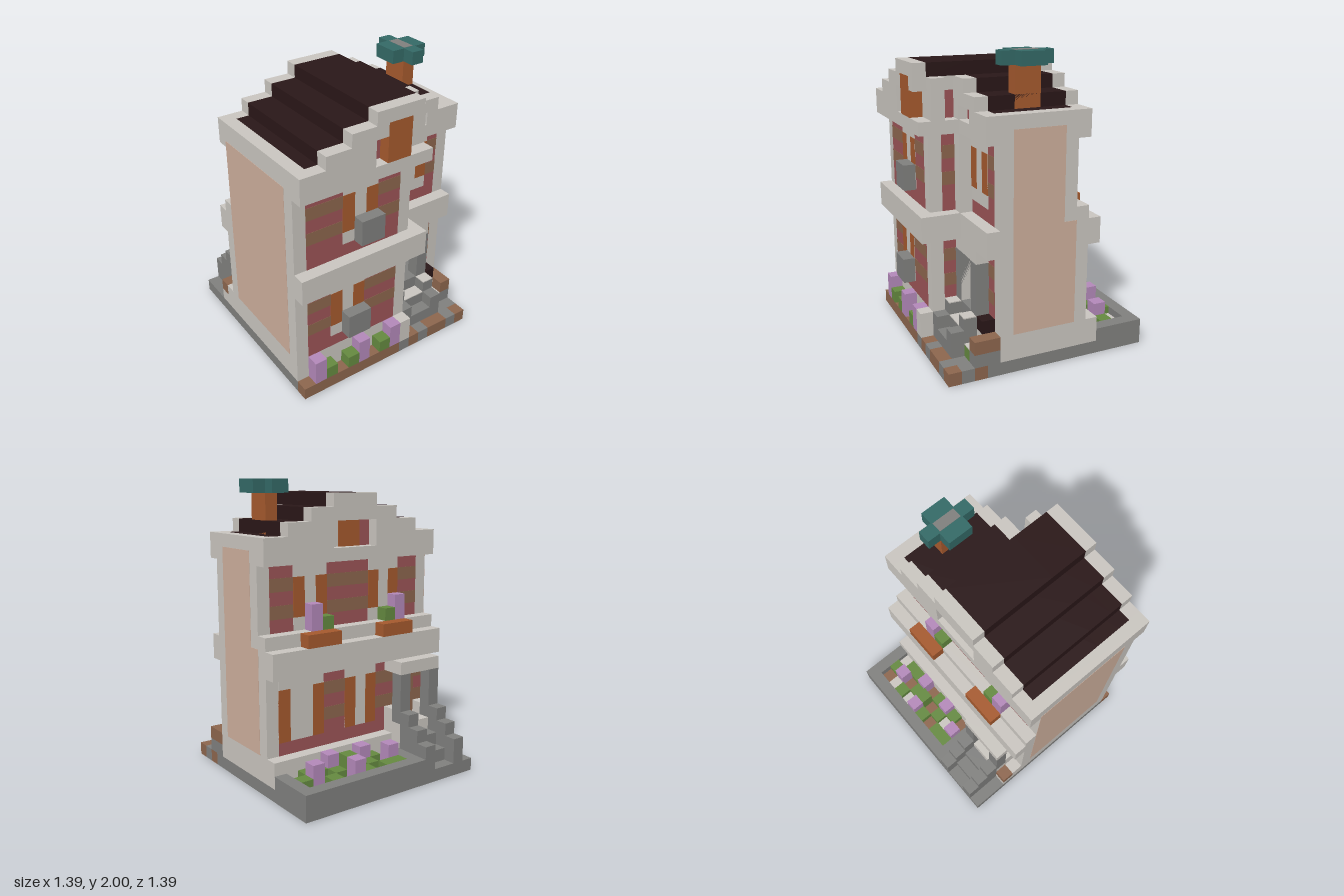
import * as THREE from 'three';

const U = 2 / 23; // one block
const mat = (name, color) => Object.assign(new THREE.MeshStandardMaterial({ color }), { name });

export function createModel() {
  const stone = mat('light stone', 0xcac6c0), grey = mat('grey stone', 0x80807e);
  const dark = mat('dark roof', 0x2a1718), teal = mat('teal', 0x346a67);
  const orange = mat('terracotta', 0xa65a2e), brown = mat('brown', 0x8d664e);
  const brick = mat('red brick', 0x9d5457), green = mat('leaf green', 0x658a40);
  const purple = mat('blossom purple', 0xb489ba), plaster = mat('pink plaster', 0xceaf9d);
  const model = new THREE.Group();

  // Box between block coordinates: x 0..16, y 0..23, z 0 (back)..16 (front)
  function box(name, m, x0, x1, y0, y1, z0, z1) {
    const g = new THREE.BoxGeometry((x1 - x0) * U, (y1 - y0) * U, (z1 - z0) * U);
    const mesh = new THREE.Mesh(g, m);
    mesh.position.set(((x0 + x1) / 2 - 8) * U, (y0 + y1) / 2 * U, ((z0 + z1) / 2 - 8) * U);
    mesh.name = name;
    model.add(mesh);
  }
  // Thin plate on a wall at depth z, facing dir (+1 front, -1 back)
  function plate(name, m, x0, x1, y0, y1, z, dir, t) {
    box(name, m, x0, x1, y0, y1, Math.min(z, z + dir * t), Math.max(z, z + dir * t));
  }
  // Striped brick wall; windows are [x0, x1, sillY, leftShutterY, rightShutterY]
  function facade(x0, x1, y0, y1, z, dir, windows) {
    plate('brickWall', brick, x0, x1, y0, y1, z, dir, 0.02);
    for (const y of [y1 - 2, y1 - 4]) plate('brickStripe', brown, x0, x1, y, y + 1, z, dir, 0.04);
    for (const [a, b, sill, l, r] of windows) {
      plate('windowFrame', stone, a, b, sill, y1, z, dir, 0.06);
      plate('shutter', orange, a, a + 1, l, y1 - 1, z, dir, 0.08);
      plate('shutter', orange, b - 1, b, r, y1 - 1, z, dir, 0.08);
    }
  }

  // Ground slab with paved edges
  box('groundSlab', grey, 0, 16, 0, 1, 0, 13);
  box('groundSlab', grey, 0, 15, 0, 1, 13, 14);
  box('soilCorner', brown, 15, 16, 0, 1, 13, 14);
  box('groundSlab', grey, 0, 16, 0, 1, 14, 15);
  box('frontSoil', brown, 0, 9, 0, 1, 15, 16);
  [grey, brown, grey, brown, brown, grey, brown].forEach((m, i) =>
    box('frontPaving', m, 9 + i, 10 + i, 0, 1, 15, 16));

  // Main walls
  box('mainBody', stone, 0, 16, 1, 18, 6, 11);
  box('frontBay', stone, 0, 10, 1, 18, 11, 15);
  box('innerColumn', stone, 10, 11, 1, 17, 11, 13);
  box('entranceSideWall', stone, 14, 16, 1, 9, 11, 12);
  box('upperRightWall', stone, 11, 16, 9, 18, 11, 12);
  box('lowerBackWall', stone, 0, 16, 1, 9, 5, 6);
  box('backPlinth', stone, 0, 16, 1, 3, 4, 5);

  // Floor band and cornice
  box('bayBand', stone, 0, 11, 9, 11, 11, 16);
  box('rightBand', stone, 11, 16, 9, 11, 11, 13);
  box('backBand', stone, 0, 16, 9, 11, 4, 6);
  box('backLedge', stone, 0, 16, 11, 12, 5, 6);
  box('bayCornice', stone, 0, 11, 17, 18, 11, 16);
  box('rightCornice', stone, 11, 16, 17, 18, 11, 13);
  box('backCornice', stone, 0, 16, 17, 18, 5, 6);

  // Front facades
  facade(1, 9, 3, 9, 15, 1, [[3, 6, 4, 5, 6]]);
  facade(1, 9, 11, 17, 15, 1, [[4, 7, 12, 13, 14]]);
  facade(11, 15, 11, 17, 12, 1, [[11, 14, 12, 13, 13]]);
  facade(14, 15, 4, 9, 12, 1, []);
  for (const [x, y] of [[4, 4], [5, 12]]) box('airConditioner', grey, x, x + 2, y, y + 2, 15, 16);

  // Striped brick on the side of the bay
  for (const [a, b] of [[3, 9], [11, 17], [18, 20]])
    box('bayReturnBrick', brick, 10, 10.03, a, b, 13, 14);
  for (const y of [5, 7, 13, 15]) box('bayReturnStripe', brown, 10, 10.06, y, y + 1, 13, 14);

  // Back facades
  facade(1, 15, 3, 9, 5, -1, [[6, 9, 4, 4, 4], [11, 15, 4, 4, 4]]);
  plate('backDoor', brown, 2, 4, 4, 8, 5, -1, 0.1);
  facade(1, 15, 12, 17, 6, -1, [[3, 6, 12, 13, 13], [10, 13, 12, 13, 13]]);

  // Plaster panels on the side walls
  box('rightPanel', plaster, 16, 16.02, 3, 18, 7, 11);
  box('rightPanelLower', plaster, 16, 16.02, 3, 11, 6, 7);
  box('leftPanel', plaster, -0.02, 0, 3, 17.5, 6, 14);

  // Stepped roof
  [[1, 15], [2, 14], [4, 12], [6, 10]].forEach(([a, b], i) => {
    box('roofStep', dark, a, b, 18 + i, 19 + i, 6, 12);
    box('bayRoofStep', dark, a, i === 3 ? 10 : 9, 18 + i, 19 + i, 12, i === 3 ? 15 : 14);
    if (i < 3) box('bayRoofFront', dark, a, i ? 9 : 6, 18 + i, 19 + i, 14, 15);
  });
  box('leftParapet', stone, 0, 1, 18, 19, 5, 16);
  box('rightParapet', stone, 15, 16, 18, 19, 5, 13);

  // Back gable with attic niche
  box('backGable', stone, 1, 6, 18, 19, 5, 6);
  box('backGable', stone, 10, 15, 18, 19, 5, 6);
  box('backGable', stone, 2, 6, 19, 20, 5, 6);
  box('backGable', stone, 10, 14, 19, 20, 5, 6);
  box('backGable', stone, 4, 12, 20, 21, 5, 6);
  box('backGable', stone, 6, 10, 21, 22, 5, 6);
  box('backAtticBrick', brick, 6, 7, 18, 20, 5.9, 6.1);
  box('backAtticDoor', orange, 7, 9, 18, 20, 5.8, 6.1);
  box('backAtticWall', stone, 9, 10, 18, 20, 5.9, 6.1);

  // Front gable with attic door
  box('frontGable', stone, 1, 6, 18, 19, 15, 16);
  box('frontGable', stone, 2, 6, 19, 20, 15, 16);
  box('frontGable', stone, 4, 7, 20, 21, 15, 16);
  box('frontGable', stone, 9, 10, 20, 21, 15, 16);
  box('frontGable', stone, 6, 10, 21, 22, 15, 16);
  box('atticBrick', brick, 6, 7, 18, 20, 14.6, 15.1);
  box('atticDoor', orange, 7, 9, 18, 21, 14.6, 16);
  box('bayGableReturn', stone, 9, 11, 18, 21, 14, 15);
  box('bayGableReturn', stone, 9, 10, 18, 21, 11, 14);

  // Gable above the entrance
  box('sideGable', stone, 10, 11, 18, 21, 12, 13);
  box('sideGable', stone, 11, 12, 19, 21, 12, 13);
  box('sideGable', stone, 12, 14, 19, 20, 12, 13);
  box('sideGable', stone, 13, 15, 18, 19, 12, 13);
  box('sideAtticBrick', brick, 11, 13, 18, 19, 12, 12.3);

  // Chimney with teal crown
  box('chimney', orange, 13, 14, 19, 22, 8, 10);
  box('chimneyCrown', teal, 12, 15, 22, 23, 8, 10);
  for (const z of [7, 10]) box('chimneyCrown', teal, 13, 14, 22, 23, z, z + 1);
  box('chimneyVent', grey, 13.1, 13.9, 22.9, 23.02, 8.1, 9.9);

  // Front entrance, stairs and garden
  plate('frontDoor', brown, 11, 13, 4, 8, 11, 1, 0.11);
  box('porchFloor', grey, 11, 14, 1, 4, 11, 13);
  for (const x of [10, 13]) {
    box('porchPillar', grey, x, x + 1, 4, 8, 12, 13.05);
    box('stairRail', grey, x, x + 1, 1, 3.92, 13, 14);
    box('railCap', stone, x, x + 1, 3.92, 4, 13, 14);
    box('stairRail', grey, x, x + 1, 1, 3, 14, 15);
  }
  box('porchLintel', stone, 11, 14, 8, 9, 11, 13);
  box('upperStep', grey, 11, 13, 1, 2.92, 13, 14);
  box('upperTread', stone, 11, 13, 2.92, 3, 13, 14);
  box('lowerStep', grey, 11, 13, 1, 2, 14, 15);
  box('darkPot', dark, 14, 15, 3, 4, 12, 13);
  box('potStand', stone, 14, 15, 1, 3, 12, 13);
  box('sideBush', green, 14, 15, 1, 1.92, 13, 14);
  box('sideBushCap', stone, 14, 15, 1.92, 2, 13, 14);
  box('brownPot', brown, 15, 16, 2, 3, 12, 14);
  box('potStand', grey, 15, 16, 1, 2, 12, 14);
  for (const x of [1, 5, 8]) box('frontFlower', purple, x, x + 1, 1, 3, 15, 16);
  for (const x of [2, 4, 7]) box('frontBush', green, x, x + 1, 1, 2, 15, 16);
  box('frontPost', stone, 9, 10, 1, 3, 15, 16);

  // Back window planters
  for (const [x, f, b] of [[3, 3, 4], [10, 11, 10]]) {
    box('planter', orange, x, x + 3, 11, 12, 4, 5);
    box('planterFlower', purple, f, f + 1, 12, 14, 5, 6);
    box('planterBush', green, b, b + 1, 12, 13, 5, 6);
  }

  // Back porch and stairs
  box('backPorchFloor', stone, 1, 5, 1, 4, 3, 5);
  box('backPorchRoof', stone, 1, 5, 8, 9, 3, 5);
  for (const x of [1, 4]) {
    box('backPillar', grey, x, x + 1, 4, 8, 3, 4);
    for (let i = 0; i < 3; i++) box('backStairRail', grey, x, x + 1, 1, 3 + i, i, i + 1);
    box('backRailBase', stone, x, x + 1, 4, 5, 4, 5);
  }
  for (let i = 1; i < 3; i++) box('backStep', grey, 2, 4, 1, 1 + i, i, i + 1);
  box('brownPot', brown, 0, 1, 2, 3, 3, 4);
  box('potStand', stone, 0, 1, 1, 2, 3, 4);

  // Back garden: rim and three rows of plants
  box('gardenRim', grey, 5, 16, 1, 2, 0, 1);
  box('gardenRim', grey, 15, 16, 1, 2, 1, 4);
  box('gardenRim', grey, 5, 6, 1, 2, 1, 4);
  const plants = {
    G: ['bush', green, 2], T: ['tallBush', green, 3], B: ['soil', brown, 1.2],
    P: ['flower', purple, 3], W: ['gravel', stone, 1.4],
  };
  ['GGBGPWGWB', 'PWGBTGBPG', 'BGPGBPGGW'].forEach((row, k) => [...row].forEach((c, i) => {
    const [name, m, h] = plants[c];
    box(name, m, 6 + i, 7 + i, 1, h, 1 + k, 2 + k);
    // Soil and roots on the underside
    box('undersideSoil', m === green ? green : brown, 6 + i, 7 + i, -0.01, 0.02, 1 + k, 2 + k);
  }));

  return model;
}
